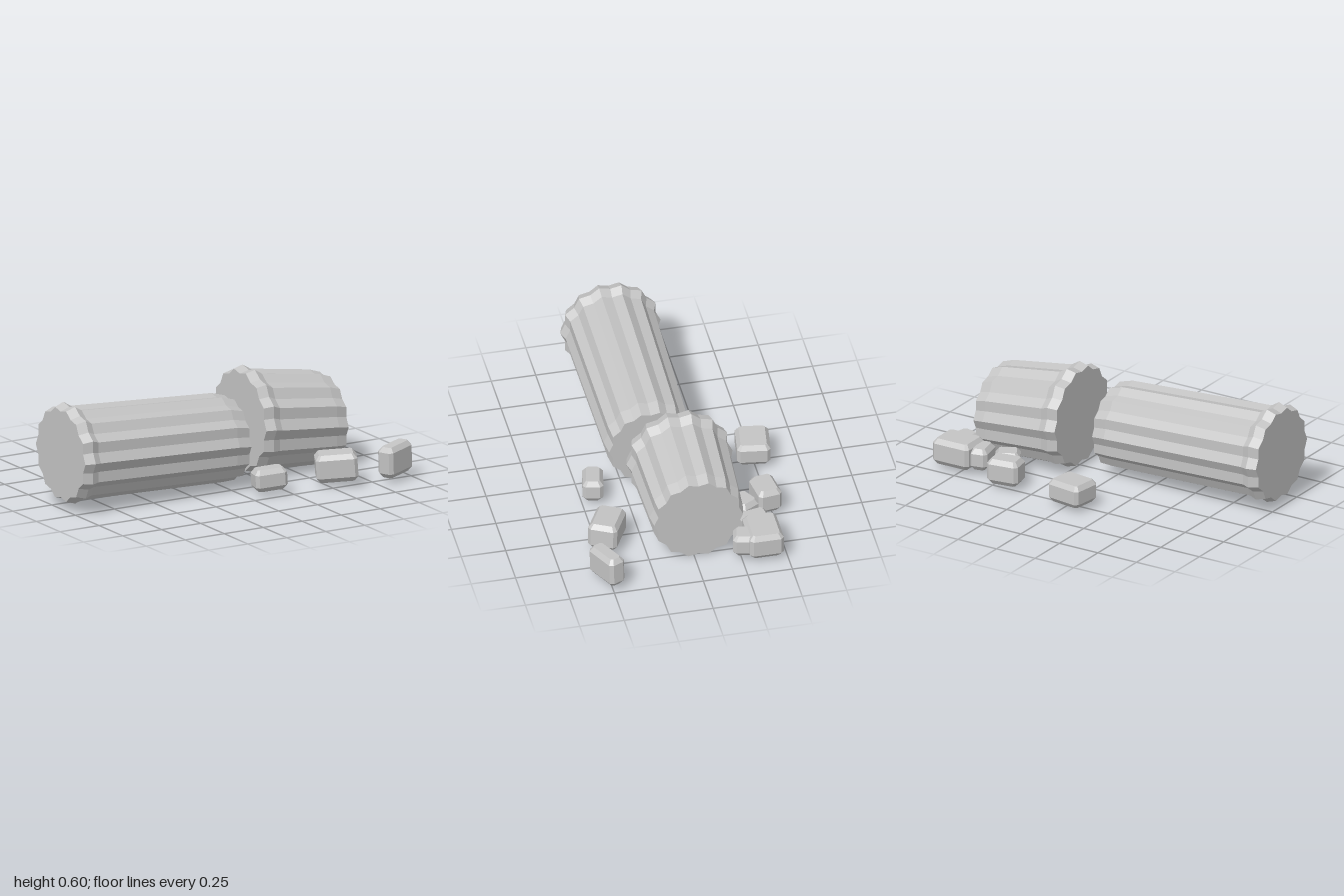
import * as THREE from 'three';

const stone = new THREE.MeshStandardMaterial({ color: 0xc4c4c4, flatShading: true });
stone.name = 'light grey stone';

// Closed solid through rings of points, each counter-clockwise seen from the last ring's end
function loft(rings) {
  const pos = [];
  const tri = (...pts) => pts.forEach((p) => pos.push(p.x, p.y, p.z));
  const centre = (ring) => ring.reduce((s, p) => s.add(p), new THREE.Vector3()).divideScalar(ring.length);
  const first = rings[0], last = rings[rings.length - 1], n = first.length;
  const c0 = centre(first), c1 = centre(last);
  for (let i = 0; i < n; i++) {
    const j = (i + 1) % n;
    for (let k = 0; k < rings.length - 1; k++) {
      const a = rings[k], b = rings[k + 1];
      tri(a[i], a[j], b[j]);
      tri(a[i], b[j], b[i]);
    }
    tri(c0, first[j], first[i]);
    tri(c1, last[i], last[j]);
  }
  const g = new THREE.BufferGeometry();
  g.setAttribute('position', new THREE.Float32BufferAttribute(pos, 3));
  g.computeVertexNormals();
  return g;
}

// Fluted column drum lying along x; stations are [x, centre height, radius]
function drum(name, z, stations) {
  const flutes = 14;
  const rings = stations.map(([x, y, r]) =>
    Array.from({ length: flutes * 2 }, (_, i) => {
      const t = (i * Math.PI) / flutes;
      const rad = i % 2 ? r * 0.925 : r;
      return new THREE.Vector3(x, y + rad * Math.sin(t), z - rad * Math.cos(t));
    }));
  const mesh = new THREE.Mesh(loft(rings), stone);
  mesh.name = name;
  return mesh;
}

// Octagonal outline of a box with cut corners
function outline(w, d, cut, y) {
  const a = w / 2, b = d / 2;
  return [[a, b - cut], [a, cut - b], [a - cut, -b], [cut - a, -b],
    [-a, cut - b], [-a, b - cut], [cut - a, b], [a - cut, b]]
    .map(([x, z]) => new THREE.Vector3(x, y, z));
}

// Chipped block with bevels on every edge
function rubble(name, [x, y, z], [w, h, d], yaw, tilt = 0) {
  const c = 0.027, cut = 0.018;
  const mesh = new THREE.Mesh(loft([
    outline(w - 1.5 * c, d - 1.5 * c, cut * 0.6, -h / 2),
    outline(w, d, cut, -h / 2 + c),
    outline(w, d, cut, h / 2 - c),
    outline(w - 1.5 * c, d - 1.5 * c, cut * 0.6, h / 2),
  ]), stone);
  mesh.name = name;
  mesh.position.set(x, y, z);
  mesh.rotation.set(0, yaw, tilt);
  return mesh;
}

export function createModel() {
  const group = new THREE.Group();
  group.name = 'brokenColumn';

  // Two halves of the fallen shaft
  group.add(drum('longDrum', 0.093, [
    [-1, 0.313, 0.263], [-0.945, 0.315, 0.282], [-0.9, 0.308, 0.261],
    [0, 0.267, 0.247], [0.082, 0.256, 0.234],
  ]));
  group.add(drum('shortDrum', -0.025, [
    [0.22, 0.31, 0.283], [0.277, 0.31, 0.298], [0.325, 0.298, 0.28],
    [0.7, 0.259, 0.262], [0.767, 0.248, 0.25],
  ]));

  // Scattered rubble: centre, size, yaw, tilt
  [
    [[-0.02, 0.093, -0.502], [0.215, 0.13, 0.185], -0.14],
    [[0.428, 0.102, -0.475], [0.185, 0.145, 0.135], 0.14],
    [[0.505, 0.09, -0.335], [0.14, 0.125, 0.13], 0.52],
    [[0.655, 0.095, -0.36], [0.105, 0.125, 0.16], 0.2],
    [[0.797, 0.105, -0.38], [0.235, 0.15, 0.19], 0],
    [[0.818, 0.1, -0.27], [0.13, 0.13, 0.125], -0.2],
    [[0.133, 0.097, 0.43], [0.185, 0.125, 0.115], -0.2, 0.06],
    [[0.555, 0.112, 0.443], [0.23, 0.155, 0.165], -0.47, 0.06],
    [[0.888, 0.122, 0.517], [0.215, 0.175, 0.1], 0.43, 0.05],
  ].forEach((args, i) => group.add(rubble(`rubble${i + 1}`, ...args)));

  return group;
}
